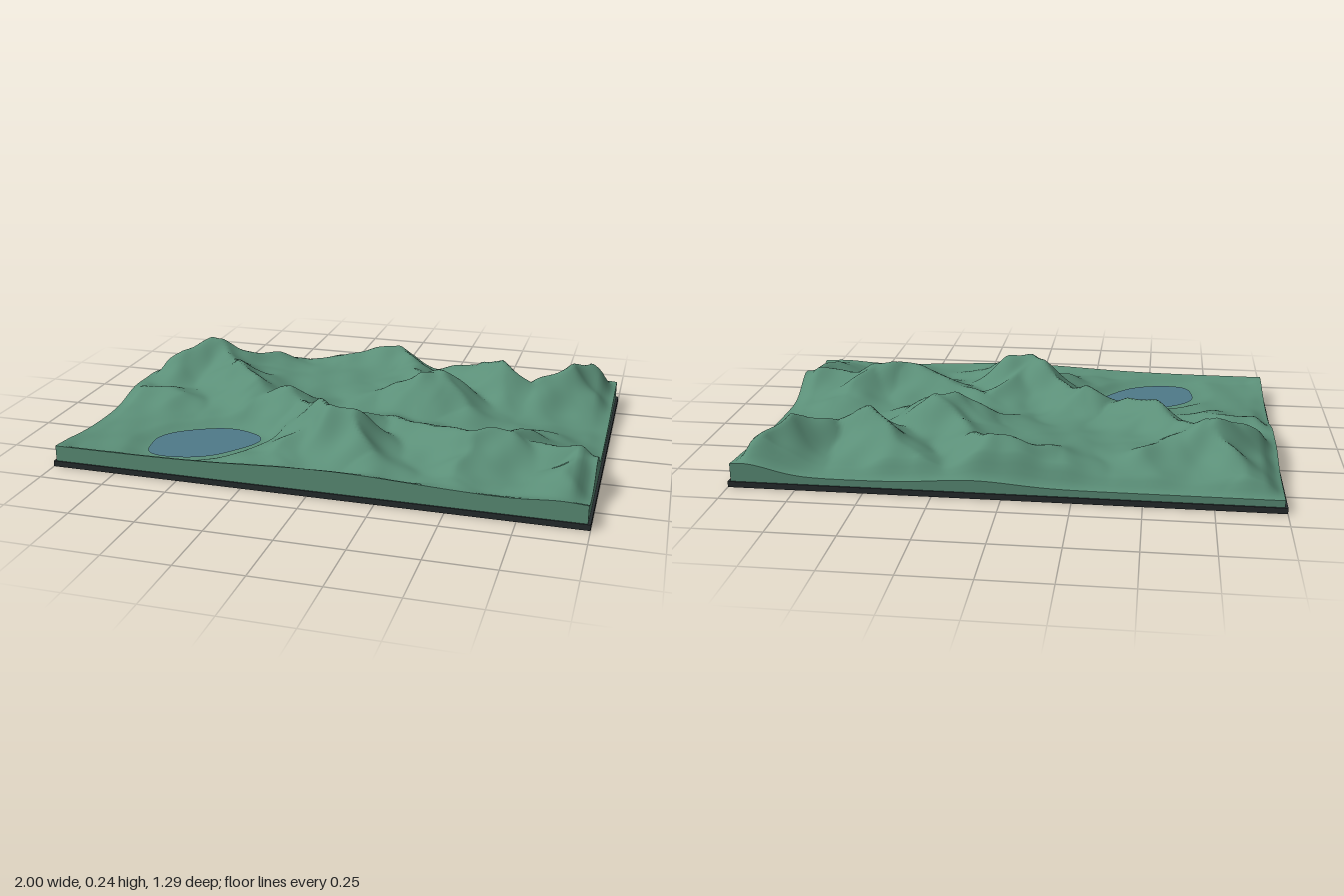
import * as THREE from 'three';

const W = 1.98, D = 1.285, BASE = 0.022, LAKE_Y = 0.052;

// Mountain crests: each is a line of [x, z, height] points
const ridges = [
  [[-0.72, -0.35, 0.23], [-0.62, -0.26, 0.18], [-0.52, -0.13, 0.213], [-0.44, -0.02, 0.19], [-0.37, 0.05, 0.15],
    [-0.24, 0.08, 0.203], [-0.16, 0.15, 0.17], [-0.07, 0.28, 0.232], [0.01, 0.33, 0.245], [0.1, 0.36, 0.23], [0.2, 0.5, 0.13]],
  [[-0.76, -0.35, 0.225], [-0.86, -0.26, 0.195], [-0.95, -0.22, 0.12]],
  [[-0.75, -0.38, 0.21], [-0.86, -0.57, 0.11]],
  [[-0.68, -0.36, 0.18], [-0.5, -0.45, 0.15]],
  [[-0.2, -0.52, 0.15], [0.05, -0.52, 0.215], [0.13, -0.45, 0.165], [0.2, -0.3, 0.175], [0.32, -0.19, 0.235], [0.44, -0.06, 0.13]],
  [[0.31, -0.18, 0.215], [0.22, -0.15, 0.23], [0.06, -0.13, 0.14]],
  [[0.3, -0.56, 0.13], [0.54, -0.36, 0.235], [0.67, -0.33, 0.16], [0.82, -0.43, 0.213], [0.87, -0.58, 0.19]],
  [[0, 0.29, 0.2], [0.16, 0.13, 0.13], [0.56, 0.34, 0.195], [0.68, 0.3, 0.2], [0.75, 0.08, 0.12]],
  [[0.57, 0.36, 0.17], [0.49, 0.55, 0.1]],
  [[0.72, 0.27, 0.15], [0.95, 0.31, 0.16], [0.88, 0.48, 0.14]],
  [[-0.97, -0.02, 0.11], [-0.75, 0.05, 0.12]],
  [[-0.06, 0.29, 0.2], [-0.16, 0.52, 0.1]],
];

// Lake: a tilted oval with a wavy shore
const lake = { x: -0.5, z: 0.39, long: 0.215, short: 0.14, tilt: 0.56 };
const shoreWave = (a) => 1 + 0.035 * Math.sin(3 * a + 1) + 0.025 * Math.sin(5 * a);

const { lerp, smoothstep, clamp } = THREE.MathUtils;
const bump = (t, centre, width) => Math.exp(-(((t - centre) / width) ** 2));

// Height above the valley floor that one crest gives at a point
function crest(line, x, z, floor) {
  let best = 0;
  for (let i = 0; i < line.length - 1; i++) {
    const [ax, az, ah] = line[i], [bx, bz, bh] = line[i + 1];
    const dx = bx - ax, dz = bz - az;
    const t = clamp(((x - ax) * dx + (z - az) * dz) / (dx * dx + dz * dz), 0, 1);
    const d = Math.hypot(x - ax - t * dx, z - az - t * dz);
    best = Math.max(best, (lerp(ah, bh, t) - floor) * Math.exp(-((d / 0.115) ** 1.35)));
  }
  return best;
}

// Distance from the lake centre, where 1 is the shore
function lakeDistance(x, z) {
  const c = Math.cos(lake.tilt), s = Math.sin(lake.tilt);
  const u = ((x - lake.x) * c - (z - lake.z) * s) / lake.long;
  const v = ((x - lake.x) * s + (z - lake.z) * c) / lake.short;
  return Math.hypot(u, v) / shoreWave(Math.atan2(v, u));
}

function heightAt(x, z) {
  // Bend the crests slightly so that they look eroded
  const wx = x + 0.012 * Math.sin(17 * z + 3 * x) + 0.008 * Math.sin(41 * z - 12 * x);
  const wz = z + 0.012 * Math.sin(15 * x - 4 * z) + 0.008 * Math.sin(37 * x + 14 * z);

  // Valley floor with a plateau at the back and a hollow at the right
  const floor = 0.062 + 0.055 * bump(x, -0.2, 0.42) * bump(z, -0.33, 0.26)
    + 0.02 * bump(x, 0.25, 0.35) * bump(z, 0, 0.4) - 0.015 * bump(x, 0.95, 0.25) * bump(z, -0.05, 0.25);
  let sum = 0;
  for (const line of ridges) sum += Math.max(crest(line, wx, wz, floor), 0) ** 10;
  const rise = sum ** 0.1;
  let h = floor + rise;

  // Gullies, deeper on the slopes
  h += (0.003 + 0.04 * rise) * Math.sin(29 * x + 13 * z) * Math.sin(27 * z - 10 * x);

  // Lake basin
  h = lerp(LAKE_Y - 0.006, h, smoothstep(lakeDistance(x, z), 1, 1.5));

  // Low rim along the four cut sides
  const sideRim = x > 0
    ? 0.046 + 0.085 * bump(z, 0.33, 0.11) + 0.025 * bump(z, 0.64, 0.2) + 0.04 * bump(z, -0.64, 0.32)
    : 0.05 + 0.035 * bump(z, -0.04, 0.12) + 0.035 * bump(z, -0.23, 0.13) + 0.03 * bump(z, 0.64, 0.2);
  h = lerp(sideRim, h, smoothstep(W / 2 - Math.abs(x), 0, 0.07));
  const endRim = z > 0
    ? 0.082 + 0.024 * bump(x, 0.08, 0.4) + 0.012 * bump(x, 0.9, 0.12)
    : 0.048 + 0.045 * bump(x, 0.95, 0.15) + 0.02 * bump(x, 0.1, 0.2);
  return lerp(endRim, h, smoothstep(D / 2 - Math.abs(z), 0, 0.055));
}

export function createModel() {
  const model = new THREE.Group();
  const green = new THREE.MeshStandardMaterial({ name: 'terrain green', color: 0x5b8f78 });
  const blue = new THREE.MeshStandardMaterial({ name: 'lake blue', color: 0x4f7a8a });
  const black = new THREE.MeshStandardMaterial({ name: 'base black', color: 0x262c2e });
  const add = (name, geometry, material) => {
    const mesh = new THREE.Mesh(geometry, material);
    mesh.name = name;
    model.add(mesh);
    return mesh;
  };

  // Base board
  add('baseBoard', new THREE.BoxGeometry(2, BASE, 1.295).translate(0, BASE / 2, 0), black);

  // Land block with its top raised into mountains
  const land = new THREE.BoxGeometry(W, 1, D, 160, 1, 104);
  const p = land.attributes.position;
  for (let i = 0; i < p.count; i++) {
    p.setY(i, p.getY(i) > 0 ? heightAt(p.getX(i), p.getZ(i)) : BASE);
  }
  land.computeVertexNormals();
  add('terrain', land, green);

  // Lake surface
  const outline = new THREE.Shape();
  for (let i = 0; i < 56; i++) {
    const a = (i / 56) * Math.PI * 2, r = shoreWave(-a);
    const point = [Math.cos(a) * lake.long * r, Math.sin(a) * lake.short * r];
    if (i === 0) outline.moveTo(...point);
    else outline.lineTo(...point);
  }
  const water = add('lake', new THREE.ShapeGeometry(outline).rotateX(-Math.PI / 2).rotateY(lake.tilt), blue);
  water.position.set(lake.x, LAKE_Y, lake.z);
  return model;
}
